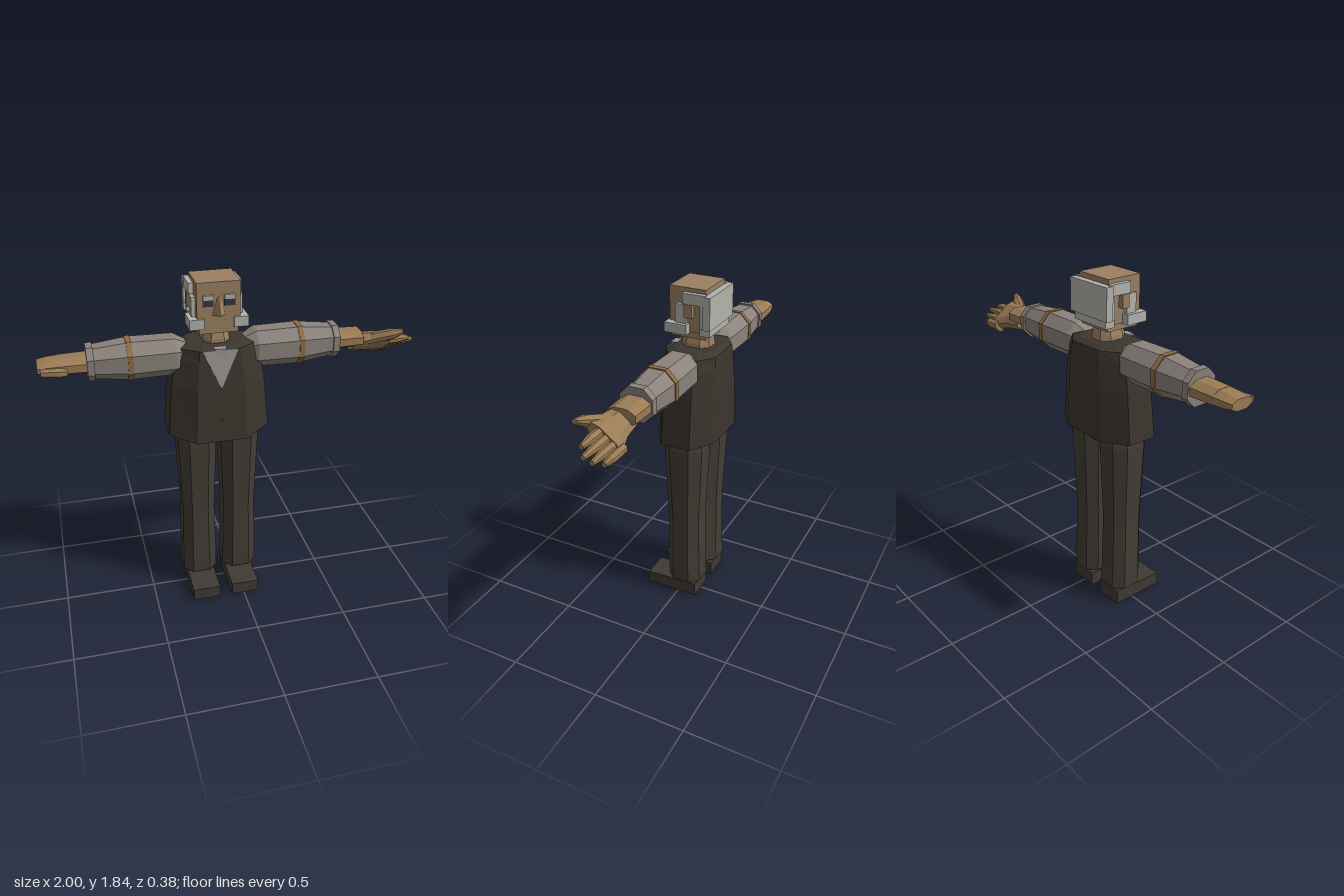
import * as THREE from 'three';

const mat = (name, color) => {
  const m = new THREE.MeshStandardMaterial({ color, flatShading: true, side: THREE.DoubleSide });
  m.name = name;
  return m;
};

// Eight-sided cross-section at height y; drop lowers its front edge
function ring(y, hx, zf, zb, cx = 0, k = 0.5, drop = 0) {
  const zc = (zf + zb) / 2, hz = (zf - zb) / 2;
  const corners = [[1, k], [k, 1], [-k, 1], [-1, k], [-1, -k], [-k, -1], [k, -1], [1, -k]];
  return corners.map(([a, b]) => [cx + a * hx, y - (b === 1 ? drop : 0), zc + b * hz]);
}

// Skin a stack of cross-sections and close both ends
function loft(rings) {
  const n = rings[0].length, index = [];
  for (let i = 0; i < rings.length - 1; i++) {
    for (let j = 0; j < n; j++) {
      const a = i * n + j, b = i * n + (j + 1) % n;
      index.push(a, a + n, b + n, a, b + n, b);
    }
  }
  const top = (rings.length - 1) * n;
  for (let j = 1; j < n - 1; j++) {
    index.push(0, j, j + 1, top, top + j + 1, top + j);
  }
  const g = new THREE.BufferGeometry();
  g.setAttribute('position', new THREE.Float32BufferAttribute(rings.flat(2), 3));
  g.setIndex(index);
  g.computeVertexNormals();
  return g;
}

export function createModel() {
  const skin = mat('skin', 0x9b8062);
  const hand = mat('handSkin', 0x9a7b55);
  const hair = mat('greyHair', 0xb3b3ae);
  const suit = mat('suitDark', 0x3b362e);
  const trouser = mat('trouserDark', 0x433e36);
  const shoe = mat('shoeDark', 0x3f3a33);
  const sleeve = mat('sleeveGrey', 0x8b827b);
  const shirtGrey = mat('shirtGrey', 0x99948f);
  const band = mat('bandBrown', 0x8f6c45);
  const eyeDark = mat('eyeDark', 0x37373a);

  const model = new THREE.Group();
  const body = new THREE.Group();
  body.name = 'body';
  body.position.x = -0.105;
  model.add(body);

  const add = (name, geo, material, parent = body) => {
    const m = new THREE.Mesh(geo, material);
    m.name = name;
    parent.add(m);
    return m;
  };
  // Box given by its limits on each axis
  const box = (name, x0, x1, y0, y1, z0, z1, material, parent) => {
    const m = add(name, new THREE.BoxGeometry(x1 - x0, y1 - y0, z1 - z0), material, parent);
    m.position.set((x0 + x1) / 2, (y0 + y1) / 2, (z0 + z1) / 2);
    return m;
  };
  const pair = (name, x0, x1, ...rest) => {
    box('left' + name, x0, x1, ...rest);
    box('right' + name, -x1, -x0, ...rest);
  };

  // Head and neck
  box('head', -0.11, 0.11, 1.61, 1.837, -0.12, 0.08, skin);
  box('chin', -0.1, 0.1, 1.575, 1.61, -0.115, 0.075, skin);
  add('neck', loft([ring(1.49, 0.07, 0.05, -0.11), ring(1.53, 0.068, 0.05, -0.105), ring(1.58, 0.055, 0.04, -0.1)]), skin);
  add('nose', loft([
    [[0.033, 1.67, 0.08], [0, 1.675, 0.118], [-0.033, 1.67, 0.08]],
    [[0.006, 1.765, 0.08], [0, 1.765, 0.083], [-0.006, 1.765, 0.08]],
  ]), skin);
  pair('Eye', 0.027, 0.081, 1.717, 1.75, 0.079, 0.086, eyeDark);
  pair('Eyebrow', 0.027, 0.081, 1.75, 1.775, 0.075, 0.095, hair);
  pair('Ear', 0.105, 0.14, 1.69, 1.76, -0.055, -0.012, skin);

  // Hair around the back and sides, with whiskers
  box('backHair', -0.14, 0.14, 1.64, 1.81, -0.155, -0.115, hair);
  box('lowBackHair', -0.12, 0.12, 1.6, 1.64, -0.145, -0.09, hair);
  pair('SideHair', 0.105, 0.135, 1.76, 1.815, -0.125, 0, hair);
  pair('RearSideHair', 0.105, 0.13, 1.64, 1.77, -0.13, -0.095, hair);
  pair('Sideburn', 0.105, 0.13, 1.65, 1.755, -0.02, 0.04, hair);
  pair('Whisker', 0.075, 0.15, 1.605, 1.657, -0.03, 0.092, hair);

  // Jacket
  add('jacket', loft([
    ring(1.022, 0.268, 0.14, -0.19, 0, 0.5, 0.03),
    ring(1.3, 0.245, 0.125, -0.185, 0, 0.5),
    ring(1.44, 0.222, 0.112, -0.178, 0, 0.5),
    ring(1.495, 0.19, 0.105, -0.172, 0, 0.55),
    ring(1.512, 0.145, 0.07, -0.14, 0, 0.55),
  ]), suit);
  const vee = new THREE.Shape([[0, 0], [0.092, 0.205], [-0.092, 0.205]].map(p => new THREE.Vector2(...p)));
  const shirt = add('shirtFront', new THREE.ExtrudeGeometry(vee, { depth: 0.006, bevelEnabled: false }), shirtGrey);
  shirt.position.set(0, 1.292, 0.125);
  shirt.rotation.x = -0.095;
  box('collarKnot', -0.03, 0.03, 1.465, 1.505, 0.075, 0.118, shirtGrey);
  for (let i = 0; i < 4; i++) {
    const y = 1.12 + i * 0.045;
    const z = 0.141 - (y - 1.02) * 0.054;
    box('button', -0.004, 0.004, y - 0.004, y + 0.004, z - 0.008, z + 0.002, shoe);
  }

  // Trousers and shoes
  add('hips', loft([ring(0.95, 0.07, 0.05, -0.1), ring(1.0, 0.13, 0.08, -0.13), ring(1.06, 0.19, 0.09, -0.14)]), trouser);
  for (const s of [1, -1]) {
    const c = s * 0.116, side = s > 0 ? 'left' : 'right';
    add(side + 'Leg', loft([
      ring(0.1, 0.096, 0.067, -0.128, c), ring(0.18, 0.096, 0.07, -0.124, c),
      ring(0.52, 0.089, 0.069, -0.117, c), ring(0.97, 0.104, 0.09, -0.135, c),
      ring(1.015, 0.098, 0.083, -0.13, c),
    ]), trouser);
    const f = s * 0.1125;
    box(side + 'Ankle', f - 0.05, f + 0.05, 0.06, 0.12, -0.1, 0.035, shoe);
    add(side + 'Shoe', loft([[0, 0], [0.07, 1]].map(([y, t]) => [
      [f + 0.077, y, 0.195], [f - 0.077, y, 0.195], [f - 0.077, y + t * 0.012, -0.11], [f + 0.077, y + t * 0.012, -0.11],
    ])), shoe);
  }

  // Arms stretched sideways: built upward, then turned outward
  const round = (d, r, rz = r) => ring(d, r, rz, -rz, 0, 0.45);
  for (const s of [1, -1]) {
    const arm = new THREE.Group();
    arm.name = s > 0 ? 'leftArm' : 'rightArm';
    arm.position.set(0, 1.443, -0.03);
    arm.rotation.z = -s * Math.PI / 2;
    body.add(arm);
    add('sleeve', loft([round(0.14, 0.06), round(0.212, 0.097), round(0.44, 0.1), round(0.64, 0.078)]), sleeve, arm);
    add('sleeveBand', loft([round(0.43, 0.104), round(0.457, 0.103)]), band, arm);
    add('cuff', loft([round(0.62, 0.089), round(0.655, 0.087)]), sleeve, arm);
    add('forearm', loft([round(0.63, 0.046, 0.08), round(0.79, 0.042, 0.076)]), hand, arm);
  }

  // Right hand, closed flat
  const rightArm = body.getObjectByName('rightArm');
  add('rightHand', loft([round(0.77, 0.042, 0.076), round(0.85, 0.037, 0.072), round(0.895, 0.028, 0.064)]), hand, rightArm);
  add('rightThumb', loft([ring(0.75, 0.02, 0.085, 0.04, -0.015), ring(0.79, 0.026, 0.095, 0.03, -0.012), ring(0.88, 0.02, 0.092, 0.04, -0.005)]), hand, rightArm);

  // Left hand, open and tilted
  const palm = new THREE.Group();
  palm.name = 'leftHand';
  palm.applyMatrix4(new THREE.Matrix4().makeBasis(
    new THREE.Vector3(0, 0.6, 0.8), new THREE.Vector3(1, 0, 0), new THREE.Vector3(0, 0.8, -0.6)));
  palm.position.set(0.745, 1.412, -0.022);
  body.add(palm);
  add('palm', loft([ring(0, 0.06, 0.045, -0.035), ring(0.1, 0.075, 0.045, -0.038), ring(0.2, 0.1, 0.036, -0.036, -0.015)]), hand, palm);
  [[-0.098, 0.3], [-0.06, 0.345], [-0.018, 0.36], [0.022, 0.32]].forEach(([u, len]) => {
    add('finger', loft([ring(0.16, 0.023, 0.034, -0.034, u), ring(0.26, 0.023, 0.026, -0.03, u), ring(len, 0.012, 0.004, -0.02, u)]), hand, palm);
  });
  add('thumb', loft([ring(0.08, 0.03, 0.03, -0.03, 0.04), ring(0.19, 0.03, 0.028, -0.028, 0.095), ring(0.245, 0.014, 0.015, -0.015, 0.125)]), hand, palm);

  return model;
}
